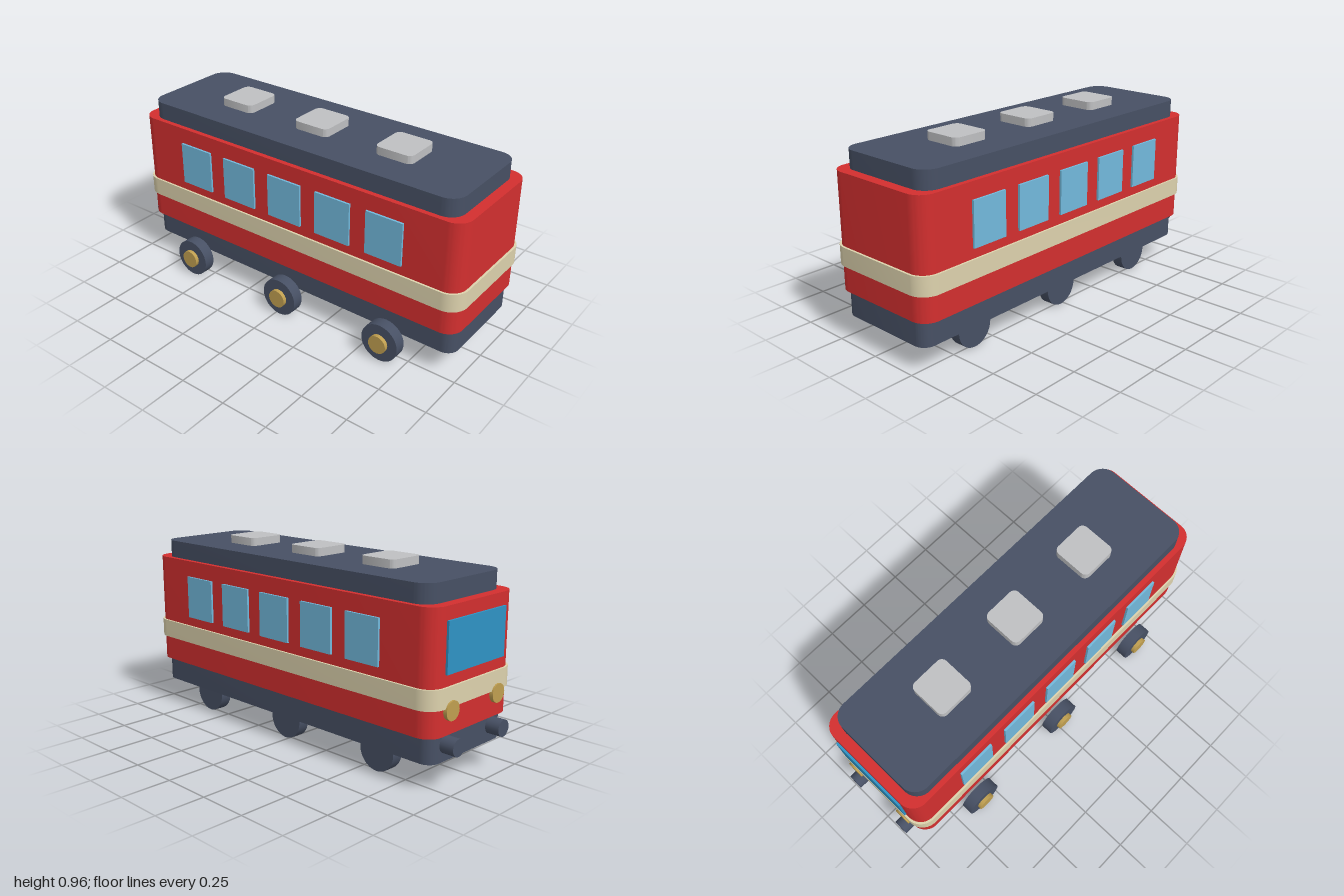
import * as THREE from 'three';
import { toCreasedNormals } from 'three/addons/utils/BufferGeometryUtils.js';

const CX = 0.02, CZ = -0.033; // centre of the coach body

function material(name, color) {
  const m = new THREE.MeshStandardMaterial({ color });
  m.name = name;
  return m;
}

// Upright slab with rounded vertical corners, standing on y = 0
function roundedSlab(w, h, d, r) {
  const x = w / 2, y = d / 2;
  const s = new THREE.Shape();
  s.moveTo(-x + r, -y);
  s.lineTo(x - r, -y);
  s.absarc(x - r, -y + r, r, -Math.PI / 2, 0);
  s.lineTo(x, y - r);
  s.absarc(x - r, y - r, r, 0, Math.PI / 2);
  s.lineTo(-x + r, y);
  s.absarc(-x + r, y - r, r, Math.PI / 2, Math.PI);
  s.lineTo(-x, -y + r);
  s.absarc(-x + r, -y + r, r, Math.PI, Math.PI * 1.5);
  const g = new THREE.ExtrudeGeometry(s, { depth: h, bevelEnabled: false, curveSegments: 8 });
  g.rotateX(-Math.PI / 2);
  return toCreasedNormals(g, 0.6);
}

export function createModel() {
  const red = material('red paint', 0xd32f2f);
  const slate = material('slate', 0x475064);
  const cream = material('cream', 0xddd2ad);
  const glass = material('window glass', 0x72b9dc);
  const darkGlass = material('windscreen glass', 0x2f93c4);
  const brass = material('brass', 0xc09f50);
  const grey = material('light grey', 0xbfc0c2);

  const model = new THREE.Group();
  model.name = 'railCoach';
  const add = (name, geometry, mat, x, y, z, parent = model) => {
    const mesh = new THREE.Mesh(geometry, mat);
    mesh.name = name;
    mesh.position.set(x, y, z);
    parent.add(mesh);
    return mesh;
  };

  // Stacked body
  add('chassis', roundedSlab(1.896, 0.127, 0.542, 0.06), slate, CX, 0.128, CZ);
  add('body', roundedSlab(1.93, 0.575, 0.6, 0.08), red, CX, 0.255, CZ);
  add('stripe', roundedSlab(1.952, 0.094, 0.621, 0.09), cream, CX, 0.383, CZ);
  add('roof', roundedSlab(1.826, 0.09, 0.549, 0.08), slate, CX, 0.83, CZ);

  // Roof hatches
  const hatch = roundedSlab(0.2, 0.041, 0.204, 0.03);
  for (const i of [-1, 0, 1]) add('roofHatch', hatch, grey, CX + i * 0.475, 0.92, CZ);

  // Side windows
  const pane = new THREE.BoxGeometry(0.198, 0.221, 0.011);
  for (const side of [-1, 1])
    for (let i = -2; i <= 2; i++)
      add('sideWindow', pane, glass, CX + i * 0.288, 0.637, CZ + side * 0.3055);

  // Wheels with a hub on the +z face
  const tyre = new THREE.CylinderGeometry(0.1, 0.1, 0.06, 32).rotateX(Math.PI / 2);
  const hub = new THREE.CylinderGeometry(0.048, 0.048, 0.02, 20).rotateX(Math.PI / 2);
  for (const z of [0.297, -0.238])
    for (const i of [-1, 0, 1]) {
      const wheel = new THREE.Group();
      wheel.name = 'wheel';
      wheel.position.set(CX + i * 0.61, 0.1, z);
      add('tyre', tyre, slate, 0, 0, 0, wheel);
      add('hub', hub, brass, 0, 0, 0.04, wheel);
      model.add(wheel);
    }

  // Driving end at -x: windscreen, lamps and buffers
  add('windscreen', new THREE.BoxGeometry(0.011, 0.235, 0.42), darkGlass, -0.9505, 0.65, CZ);
  const lamp = new THREE.CylinderGeometry(0.046, 0.046, 0.024, 20).rotateZ(Math.PI / 2);
  const buffer = new THREE.CylinderGeometry(0.041, 0.041, 0.1, 24).rotateZ(Math.PI / 2);
  for (const side of [-1, 1]) {
    add('headlamp', lamp, brass, -0.952, 0.368, CZ + side * 0.17);
    add('buffer', buffer, slate, -0.95, 0.208, CZ + side * 0.17);
  }
  return model;
}
